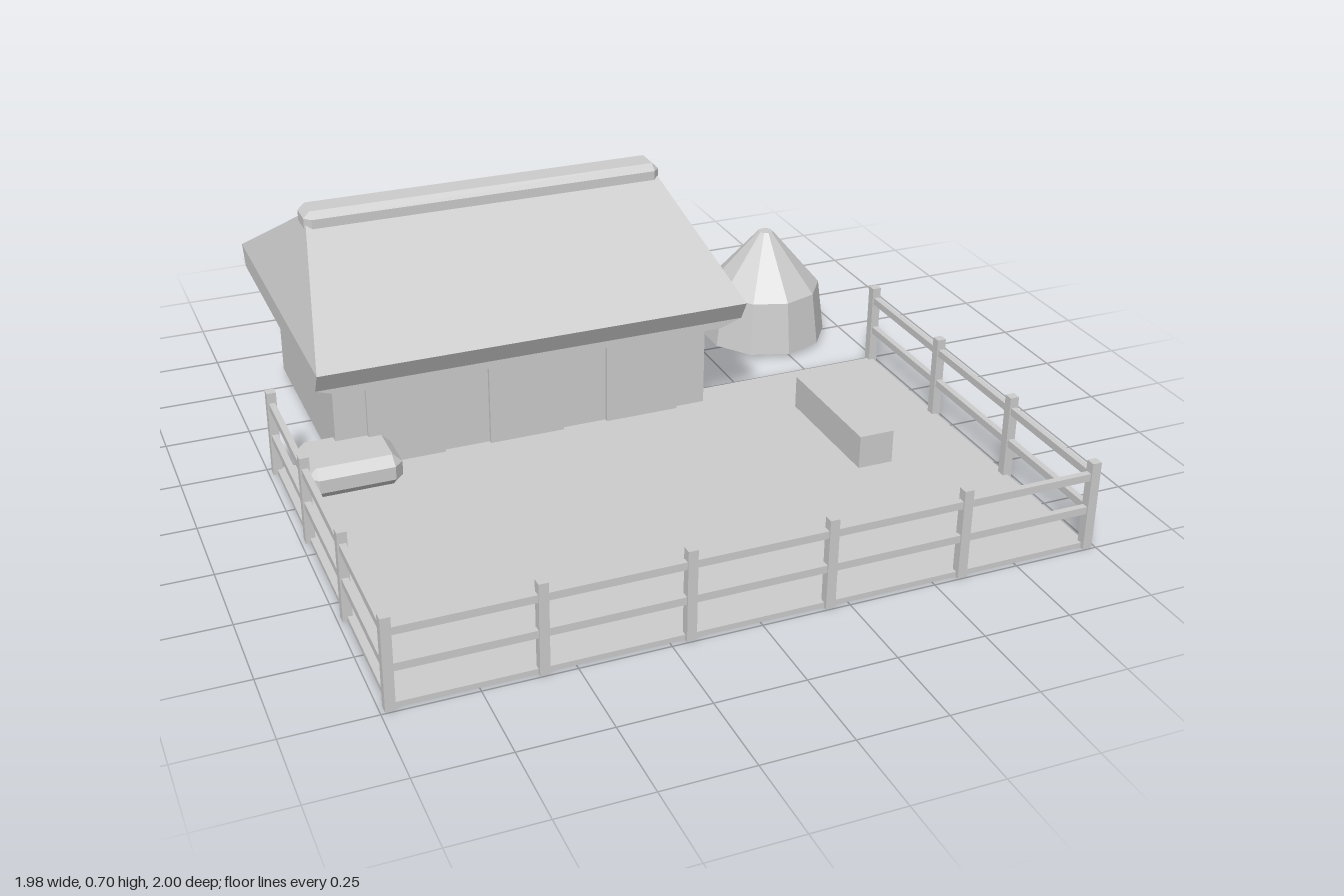
import * as THREE from 'three';

const grey = new THREE.MeshStandardMaterial({ color: 0xcccccc, flatShading: true });
grey.name = 'plain grey';

// Axis-aligned box from its min and max corners
function box(parent, name, [x0, y0, z0], [x1, y1, z1]) {
  const mesh = new THREE.Mesh(new THREE.BoxGeometry(x1 - x0, y1 - y0, z1 - z0), grey);
  mesh.position.set((x0 + x1) / 2, (y0 + y1) / 2, (z0 + z1) / 2);
  mesh.name = name;
  parent.add(mesh);
  return mesh;
}

// Closed solid through rings of equal point count, listed bottom to top,
// each ring counter-clockwise seen from above
function loft(parent, name, rings) {
  const n = rings[0].length;
  const index = [];
  for (let r = 0; r < rings.length - 1; r++) {
    for (let i = 0; i < n; i++) {
      const j = (i + 1) % n, a = r * n, b = a + n;
      index.push(a + i, a + j, b + j, a + i, b + j, b + i);
    }
  }
  const top = (rings.length - 1) * n;
  for (let i = 1; i < n - 1; i++) {
    index.push(0, i + 1, i, top, top + i, top + i + 1);
  }
  const indexed = new THREE.BufferGeometry();
  indexed.setAttribute('position', new THREE.Float32BufferAttribute(rings.flat(2), 3));
  indexed.setIndex(index);
  const geometry = indexed.toNonIndexed();
  geometry.computeVertexNormals();
  const mesh = new THREE.Mesh(geometry, grey);
  mesh.name = name;
  parent.add(mesh);
  return mesh;
}

// Horizontal rectangle ring
const rect = (y, x0, x1, z0, z1) => [[x0, y, z1], [x1, y, z1], [x1, y, z0], [x0, y, z0]];

// Rectangle ring with cut corners
const cutRect = (y, x0, x1, z0, z1, c) => [
  [x0 + c, y, z1], [x1 - c, y, z1], [x1, y, z1 - c], [x1, y, z0 + c],
  [x1 - c, y, z0], [x0 + c, y, z0], [x0, y, z0 + c], [x0, y, z1 - c],
];

// Box with every edge chamfered
function chamferBox(parent, name, [x0, y0, z0], [x1, y1, z1], c) {
  const inner = (y) => cutRect(y, x0 + c, x1 - c, z0 + c, z1 - c, c * 0.1);
  const outer = (y) => cutRect(y, x0, x1, z0, z1, c);
  return loft(parent, name, [inner(y0), outer(y0 + c), outer(y1 - c), inner(y1)]);
}

function createHouse() {
  const house = new THREE.Group();
  house.name = 'house';
  box(house, 'walls', [-0.815, 0.015, -0.847], [0.345, 0.33, -0.147]);
  for (const x of [-0.72, -0.35, 0.02]) {
    box(house, 'door', [x, 0.015, -0.15], [x + 0.23, 0.27, -0.135]);
  }
  // Steep-ended roof with sloping eaves and a tapered underside
  loft(house, 'roof', [
    rect(0.315, -0.815, 0.345, -0.965, -0.035),
    rect(0.338, -0.885, 0.413, -0.965, -0.035),
    rect(0.4, -0.885, 0.413, -1, 0),
    rect(0.68, -0.78, 0.305, -0.501, -0.499),
  ]);
  chamferBox(house, 'ridgeCap', [-0.793, 0.62, -0.557], [0.32, 0.697, -0.443], 0.02);
  return house;
}

function createFence() {
  const fence = new THREE.Group();
  fence.name = 'fence';
  const X = 0.975, Z0 = -0.225, Z1 = 0.983, h = 0.0135, t = 0.009;
  const post = (x, z) => box(fence, 'fencePost', [x - h, 0, z - h], [x + h, 0.265, z + h]);
  for (let i = 0; i < 6; i++) post(-X + i * X * 0.4, Z1);
  for (const x of [-X, X]) {
    for (let i = 0; i < 3; i++) post(x, Z0 + i * (Z1 - Z0) / 3);
  }
  for (const y of [0.12, 0.222]) {
    box(fence, 'frontRail', [-X, y - 0.011, Z1 - t], [X, y + 0.011, Z1 + t]);
    for (const x of [-X, X]) {
      box(fence, 'sideRail', [x - t, y - 0.011, Z0], [x + t, y + 0.011, Z1]);
    }
  }
  return fence;
}

// Ten-sided stack with a pointed top
function createStack() {
  const stack = new THREE.Group();
  stack.name = 'strawStack';
  const part = (name, rTop, rBottom, y0, y1, open) => {
    const geometry = new THREE.CylinderGeometry(rTop, rBottom, y1 - y0, 10, 1, open);
    const mesh = new THREE.Mesh(geometry, grey);
    mesh.position.y = (y0 + y1) / 2;
    mesh.name = name;
    stack.add(mesh);
  };
  part('stackBody', 0.182, 0.205, 0.015, 0.185, false);
  part('stackTop', 0.023, 0.182, 0.185, 0.37, false);
  stack.position.set(0.74, 0, -0.55);
  return stack;
}

export function createModel() {
  const model = new THREE.Group();
  model.name = 'farmyard';
  box(model, 'yard', [-0.976, 0, -0.225], [0.976, 0.015, 0.985]);
  model.add(createHouse(), createFence(), createStack());
  chamferBox(model, 'bale', [-0.93, 0.015, -0.2], [-0.655, 0.11, 0.015], 0.027);
  box(model, 'trough', [0.595, 0.015, -0.01], [0.703, 0.117, 0.402]);
  return model;
}
